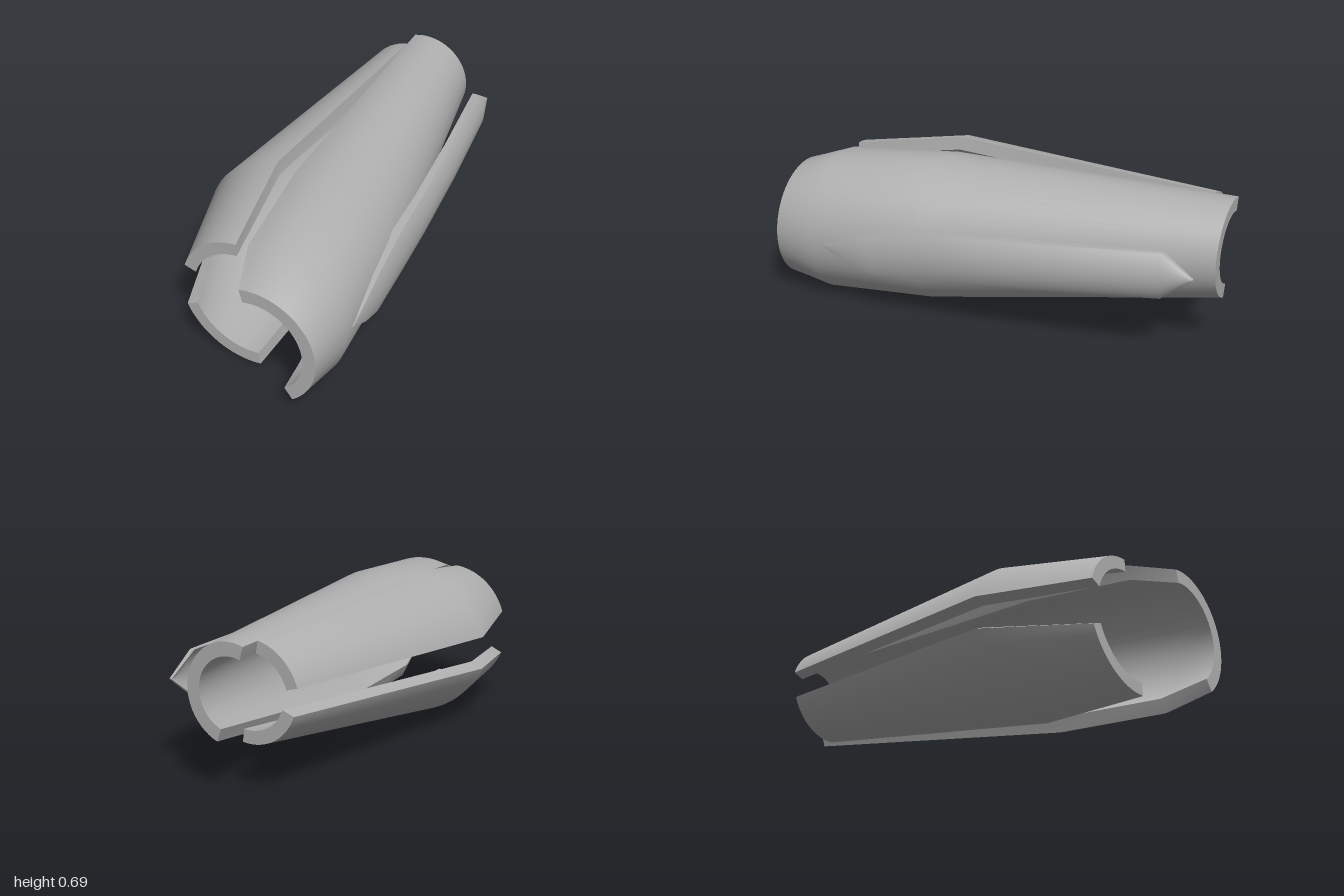
import * as THREE from 'three';
import { mergeGeometries } from 'three/addons/utils/BufferGeometryUtils.js';

const SEGMENTS = 28;

// Smooth surface through rows of points (columns turn left around the row direction)
function grid(rows) {
  const cols = rows[0].length;
  const index = [];
  for (let i = 0; i < rows.length - 1; i++) {
    for (let j = 0; j < cols - 1; j++) {
      const a = i * cols + j, b = a + 1, c = a + cols, d = c + 1;
      index.push(a, b, c, b, d, c);
    }
  }
  const geometry = new THREE.BufferGeometry();
  geometry.setAttribute('position', new THREE.Float32BufferAttribute(rows.flat().flat(), 3));
  geometry.setIndex(index);
  geometry.computeVertexNormals();
  return geometry;
}

// Closed curved plate from sections { outer, inner }, listed from back to front
function plate(name, sections, material) {
  const last = (row) => row[row.length - 1];
  const back = sections[0], front = last(sections);
  const geometry = mergeGeometries([
    grid(sections.map((s) => s.outer)),
    grid(sections.map((s) => [...s.inner].reverse())),
    grid(sections.map((s) => [last(s.outer), last(s.inner)])),
    grid(sections.map((s) => [s.inner[0], s.outer[0]])),
    grid([front.outer, front.inner]),
    grid([back.inner, back.outer]),
  ]);
  const mesh = new THREE.Mesh(geometry, material);
  mesh.name = name;
  return mesh;
}

// Ring sector: z, centre x, centre y, outer radius, wall, start and end angle in degrees
function arcSection([z, cx, cy, radius, wall, start, end]) {
  const arc = (r) => Array.from({ length: SEGMENTS + 1 }, (_, k) => {
    const t = THREE.MathUtils.degToRad(start + (end - start) * k / SEGMENTS);
    return [cx + r * Math.cos(t), cy + r * Math.sin(t), z];
  });
  return { outer: arc(radius), inner: arc(radius - wall) };
}

// Side panel slice: z, outermost x, centre y, half height, bend radius, thickness
function panelSection([z, x, y, half, bend, thick]) {
  const curve = (offset) => Array.from({ length: SEGMENTS + 1 }, (_, k) => {
    const t = half * (2 * k / SEGMENTS - 1);
    return [x - offset - bend + Math.sqrt(bend * bend - t * t), y + t, z];
  });
  return { outer: curve(0), inner: curve(thick) };
}

export function createModel() {
  const group = new THREE.Group();
  group.name = 'splitShell';
  const grey = new THREE.MeshStandardMaterial({ color: 0xb0b0b0, side: THREE.DoubleSide });
  grey.name = 'grey';

  // Long main shell wrapping the left side
  group.add(plate('mainShell', [
    [-1, -0.04, 0.435, 0.22, 0.06, -70, 107],
    [0.3, 0.077, 0.334, 0.336, 0.065, -73, 113],
    [0.8, 0.12, 0.298, 0.329, 0.065, -67, 111],
    [1, 0.14, 0.28, 0.275, 0.06, -53, 104],
  ].map(arcSection), grey));

  // Upper shell on the right side
  group.add(plate('upperShell', [
    [-0.9, -0.06, 0.41, 0.24, 0.055, 100, 163],
    [0.33, -0.06, 0.267, 0.423, 0.06, 99, 159],
    [0.82, -0.03, 0.32, 0.285, 0.057, 93, 162],
  ].map(arcSection), grey));

  // Lower shell on the right side
  group.add(plate('lowerShell', [
    [-0.9, -0.05, 0.44, 0.235, 0.058, 200, 278],
    [0.33, -0.03, 0.47, 0.468, 0.06, 205.5, 280.4],
    [0.82, 0.005, 0.333, 0.334, 0.057, 203.5, 277.8],
  ].map(arcSection), grey));

  // Pointed panel lifting away from the main shell towards the back
  group.add(plate('sidePanel', [
    [-0.945, 0.317, 0.43, 0.002, 0.15, 0.012],
    [-0.81, 0.357, 0.42, 0.105, 0.15, 0.022],
    [-0.4, 0.404, 0.39, 0.11, 0.19, 0.03],
    [0, 0.437, 0.358, 0.113, 0.24, 0.035],
    [0.25, 0.45, 0.338, 0.114, 0.28, 0.04],
    [0.5, 0.456, 0.302, 0.095, 0.31, 0.04],
    [0.62, 0.454, 0.302, 0.055, 0.32, 0.04],
    [0.74, 0.447, 0.302, 0.002, 0.33, 0.03],
  ].map(panelSection), grey));

  return group;
}
